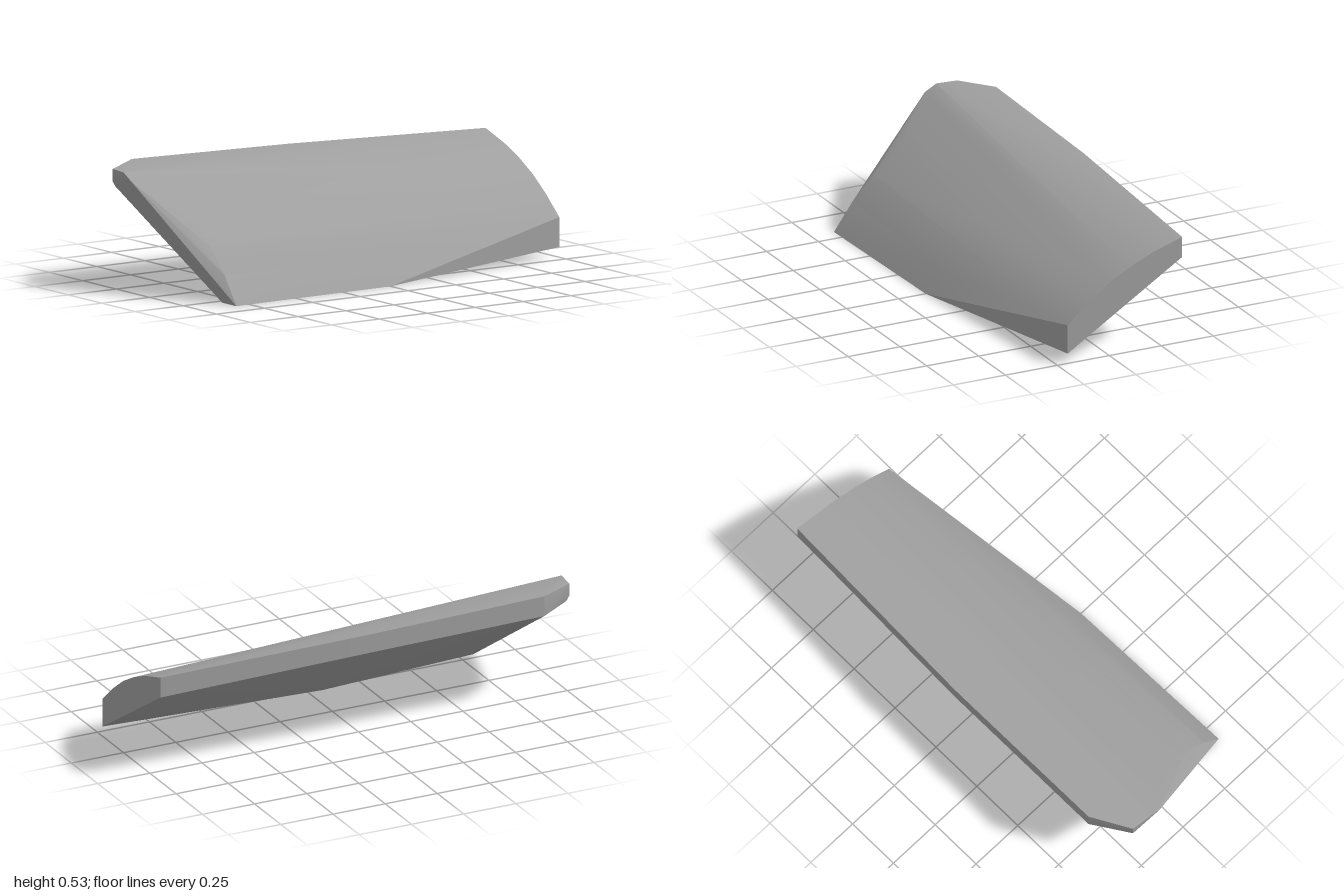
import * as THREE from 'three';
import { ConvexGeometry } from 'three/addons/geometries/ConvexGeometry.js';
import { toCreasedNormals } from 'three/addons/utils/BufferGeometryUtils.js';

// Cross-sections of the panel from back to front: each is an [x, y] outline at one z.
const sections = [
  { z: -1, // flat back end
    top: [[-0.35, 0.483], [-0.205, 0.436], [-0.1, 0.39], [0, 0.335], [0.1, 0.262], [0.2, 0.175]],
    bottom: [[0.2, 0.045], [-0.35, 0.39]] },
  { z: 0, // widest belly
    top: [[-0.39, 0.51], [-0.2, 0.466], [-0.1, 0.42], [0, 0.363], [0.1, 0.29], [0.2, 0.205], [0.3, 0.1], [0.37, 0]],
    bottom: [[0.27, 0], [0.09, 0.065], [0.04, 0.092], [0, 0.12], [-0.39, 0.425]] },
  { z: 0.82, // shoulder before the nose
    top: [[-0.39, 0.527], [-0.2, 0.49], [-0.1, 0.445], [0, 0.385], [0.1, 0.312], [0.2, 0.23], [0.3, 0.125], [0.39, 0]],
    bottom: [[0.285, 0], [-0.39, 0.435]] },
  { z: 1, // blunt nose lip
    top: [[-0.195, 0.515], [-0.14, 0.485]], bottom: [] },
  { z: 0.99, top: [[-0.29, 0.515]], bottom: [[-0.29, 0.46]] },
  { z: 0.975, top: [], bottom: [[-0.29, 0.437]] },
];

export function createModel() {
  const group = new THREE.Group();
  group.name = 'curvedPanel';

  const grey = new THREE.MeshStandardMaterial({ color: 0xa0a0a0 });
  grey.name = 'grey';

  // Convex shell around all sections, smooth across the arched top
  const points = sections.flatMap(({ z, top, bottom }) =>
    [...top, ...bottom].map(([x, y]) => new THREE.Vector3(x, y, z)));
  const shell = new THREE.Mesh(toCreasedNormals(new ConvexGeometry(points), 0.4), grey);
  shell.name = 'panelShell';
  group.add(shell);
  return group;
}
